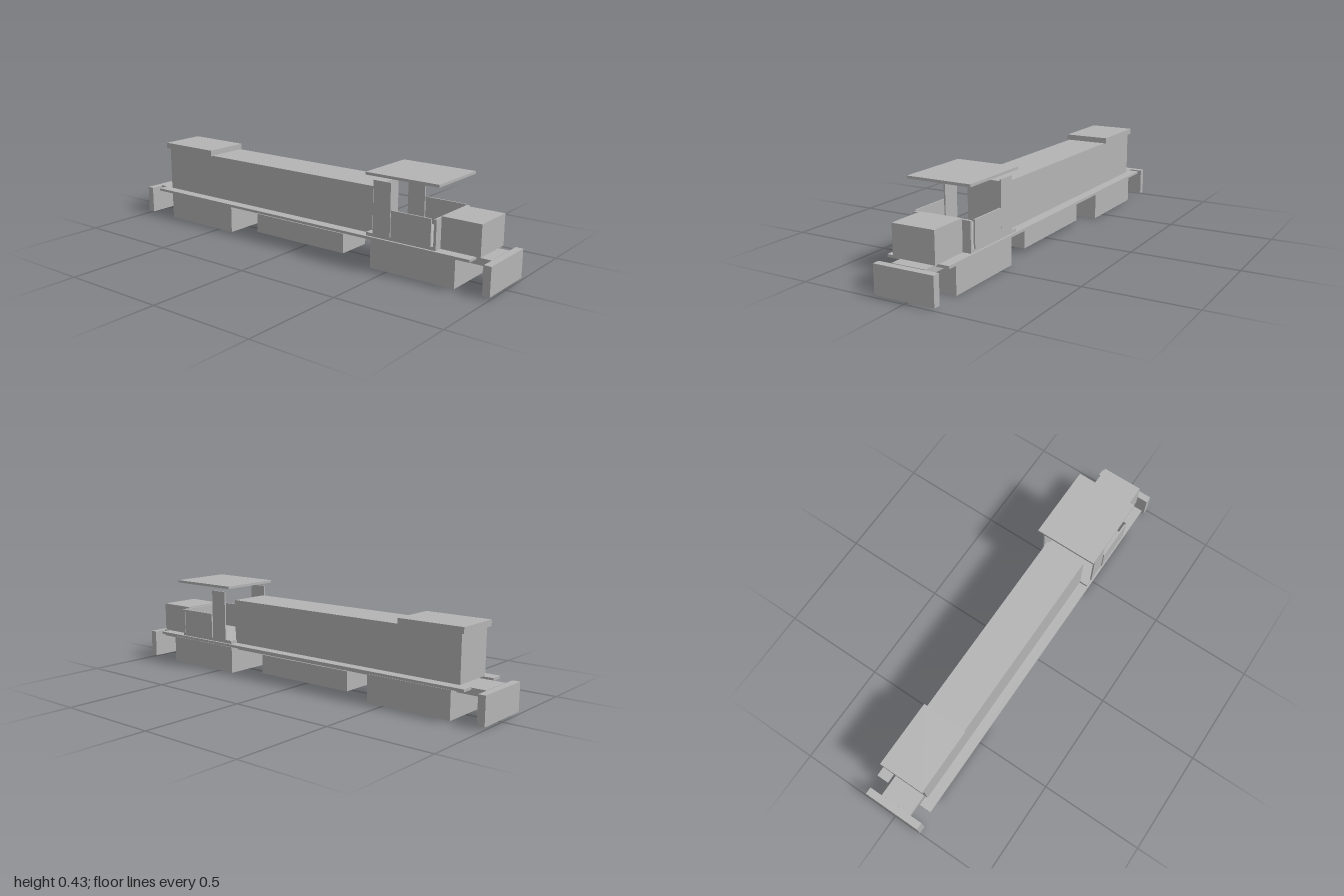
import * as THREE from 'three';

export function createModel() {
  const model = new THREE.Group();
  model.name = 'locomotive';
  const grey = new THREE.MeshStandardMaterial({ color: 0xb4b4b4 });
  grey.name = 'plain grey';

  // Box given by its extents along each axis
  function block(name, [x0, x1], [y0, y1], [z0, z1]) {
    const mesh = new THREE.Mesh(new THREE.BoxGeometry(x1 - x0, y1 - y0, z1 - z0), grey);
    mesh.position.set((x0 + x1) / 2, (y0 + y1) / 2, (z0 + z1) / 2);
    mesh.name = name;
    model.add(mesh);
  }
  // Box centred on z = 0
  const centred = (name, x, y, halfWidth) => block(name, x, y, [-halfWidth, halfWidth]);
  // Matching boxes on the +z and -z sides
  function sidePair(name, x, y, [z0, z1]) {
    block(name + 'Front', x, y, [z0, z1]);
    block(name + 'Back', x, y, [-z1, -z0]);
  }

  // Underframe, bogies, tank and end plates
  centred('frame', [-0.966, 0.966], [0.111, 0.142], 0.079);
  centred('rearBogie', [-0.833, -0.416], [0, 0.129], 0.124);
  centred('frontBogie', [0.413, 0.83], [0, 0.129], 0.124);
  centred('fuelTank', [-0.278, 0.24], [0.019, 0.111], 0.087);
  centred('rearEndPlate', [-1, -0.966], [0.011, 0.14], 0.142);
  centred('frontEndPlate', [0.966, 1], [0.011, 0.14], 0.142);
  sidePair('walkway', [-0.906, 0.906], [0.137, 0.149], [0.089, 0.147]);

  // Long hood with its overhanging radiator cap, and the short nose
  centred('longHood', [-0.861, 0.407], [0.15, 0.362], 0.1);
  centred('radiatorCap', [-0.876, -0.558], [0.361, 0.389], 0.11);
  centred('nose', [0.746, 0.93], [0.15, 0.29], 0.1);

  // Open cab
  centred('cabFloor', [0.4, 0.746], [0.15, 0.165], 0.139);
  centred('cabBulkhead', [0.734, 0.746], [0.15, 0.284], 0.139);
  sidePair('cabPost', [0.437, 0.524], [0.165, 0.403], [0.135, 0.142]);
  sidePair('cabSidePanel', [0.529, 0.724], [0.165, 0.285], [0.138, 0.145]);
  centred('cabRoof', [0.4, 0.76], [0.422, 0.434], 0.151);

  return model;
}
